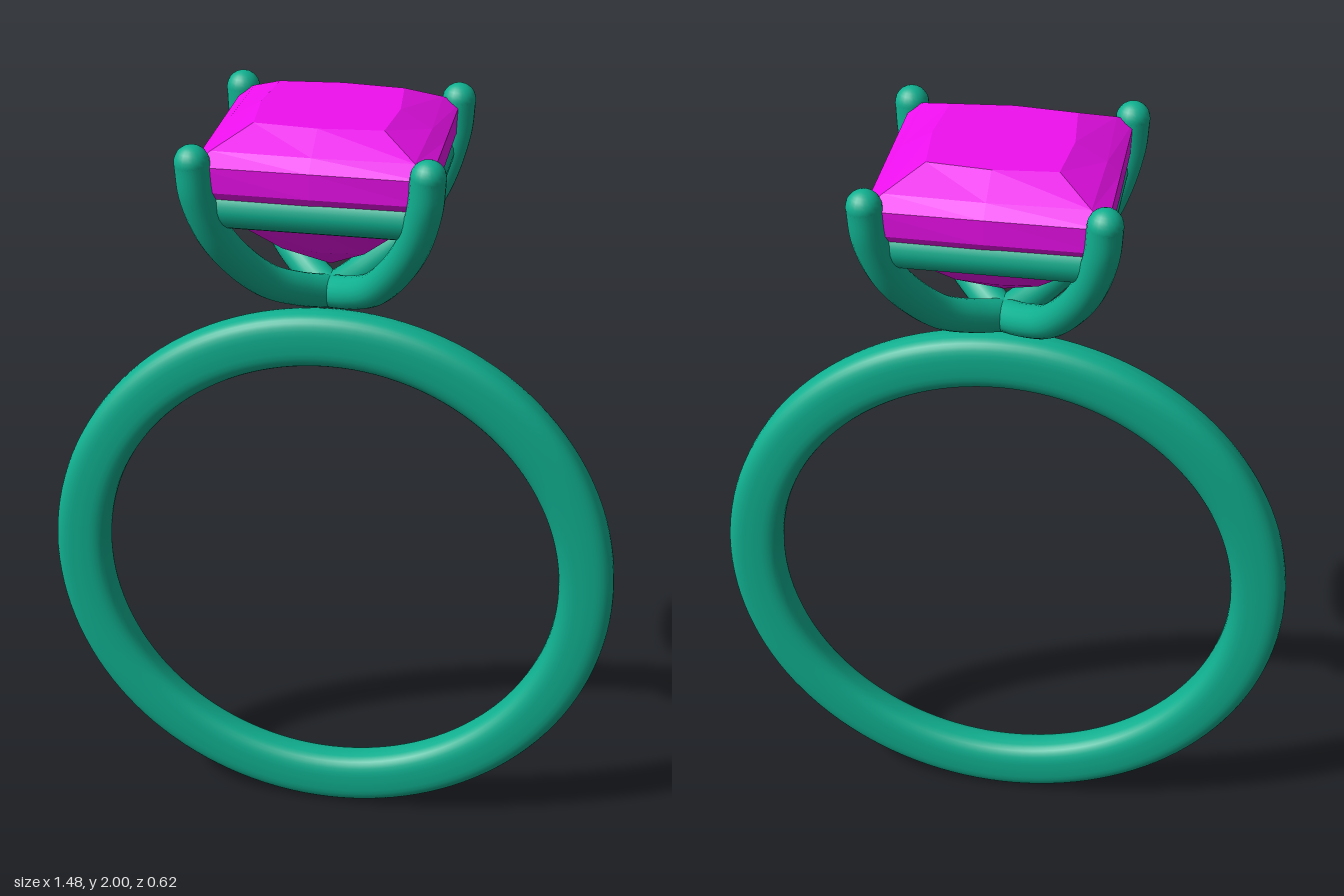
import * as THREE from 'three';

const metal = new THREE.MeshStandardMaterial({ color: 0x10b090 });
const gem = new THREE.MeshStandardMaterial({ color: 0xee10ee, flatShading: true });

function add(parent, name, geometry, material = metal) {
  const mesh = new THREE.Mesh(geometry, material);
  mesh.name = name;
  parent.add(mesh);
  return mesh;
}

// Band: a softly squared oval section swept round the finger hole
function bandGeometry() {
  const profile = [];
  const soft = (v) => Math.sign(v) * Math.abs(v) ** (2 / 2.9);
  for (let i = 0; i <= 32; i++) {
    const a = (i / 32) * Math.PI * 2;
    profile.push(new THREE.Vector2(0.667 + 0.0705 * soft(Math.cos(a)), 0.052 * soft(Math.sin(a))));
  }
  return new THREE.LatheGeometry(profile, 128).rotateX(Math.PI / 2);
}

// Stone: square rings with slightly proud side middles, [height, corner, middle]
function stoneGeometry() {
  const rings = [
    [1.603, 0, 0], [1.675, 0.098, 0.108], [1.76, 0.18, 0.19], [1.87, 0.268, 0.27],
    [1.93, 0.27, 0.27], [1.957, 0.232, 0.238], [2, 0.15, 0.164], [2, 0, 0],
  ];
  const dirs = [[1, 0], [1, 1], [0, 1], [-1, 1], [-1, 0], [-1, -1], [0, -1], [1, -1]];
  const point = (r, i) => {
    const [y, corner, middle] = rings[r];
    const [dx, dz] = dirs[i % 8];
    const s = i % 2 ? corner : middle;
    return [dx * s, y, dz * s];
  };
  const pos = [];
  const last = rings.length - 2;
  for (let r = 0; r <= last; r++) {
    for (let i = 0; i < 8; i++) {
      const a = point(r, i), b = point(r + 1, i), c = point(r + 1, i + 1), d = point(r, i + 1);
      if (r < last) pos.push(...a, ...b, ...c);
      if (r > 0) pos.push(...a, ...c, ...d);
    }
  }
  const geometry = new THREE.BufferGeometry();
  geometry.setAttribute('position', new THREE.Float32BufferAttribute(pos, 3));
  geometry.computeVertexNormals();
  return geometry;
}

export function createModel() {
  const model = new THREE.Group();
  model.name = 'ring';

  add(model, 'band', bandGeometry()).position.y = 0.7375;
  add(model, 'stone', stoneGeometry(), gem);

  // Four claws rising diagonally from the band, each with a round tip
  const path = [[0, 1.53], [0.065, 1.56], [0.135, 1.61], [0.222, 1.74], [0.26, 1.86], [0.267, 1.94]];
  const radius = 0.041;
  for (const sx of [1, -1]) {
    for (const sz of [1, -1]) {
      const claw = new THREE.Group();
      claw.name = 'claw';
      const points = path.map(([h, y]) => new THREE.Vector3(sx * h, y, sz * h));
      const curve = new THREE.CatmullRomCurve3(points);
      add(claw, 'clawArm', new THREE.TubeGeometry(curve, 40, radius, 20));
      for (const [name, p] of [['clawTip', points[points.length - 1]], ['clawFoot', points[0]]]) {
        add(claw, name, new THREE.SphereGeometry(radius, 20, 14)).position.copy(p);
      }
      model.add(claw);
    }
  }

  // Square gallery of four rails under the stone
  const gallery = new THREE.Group();
  gallery.name = 'gallery';
  for (let i = 0; i < 4; i++) {
    const pivot = new THREE.Group();
    pivot.name = 'galleryRail';
    pivot.rotation.y = (i * Math.PI) / 2;
    const rail = add(pivot, 'rail', new THREE.CylinderGeometry(0.05, 0.05, 0.46, 20));
    rail.rotation.z = Math.PI / 2;
    rail.position.set(0, 1.82, 0.215);
    gallery.add(pivot);
  }
  model.add(gallery);

  return model;
}
